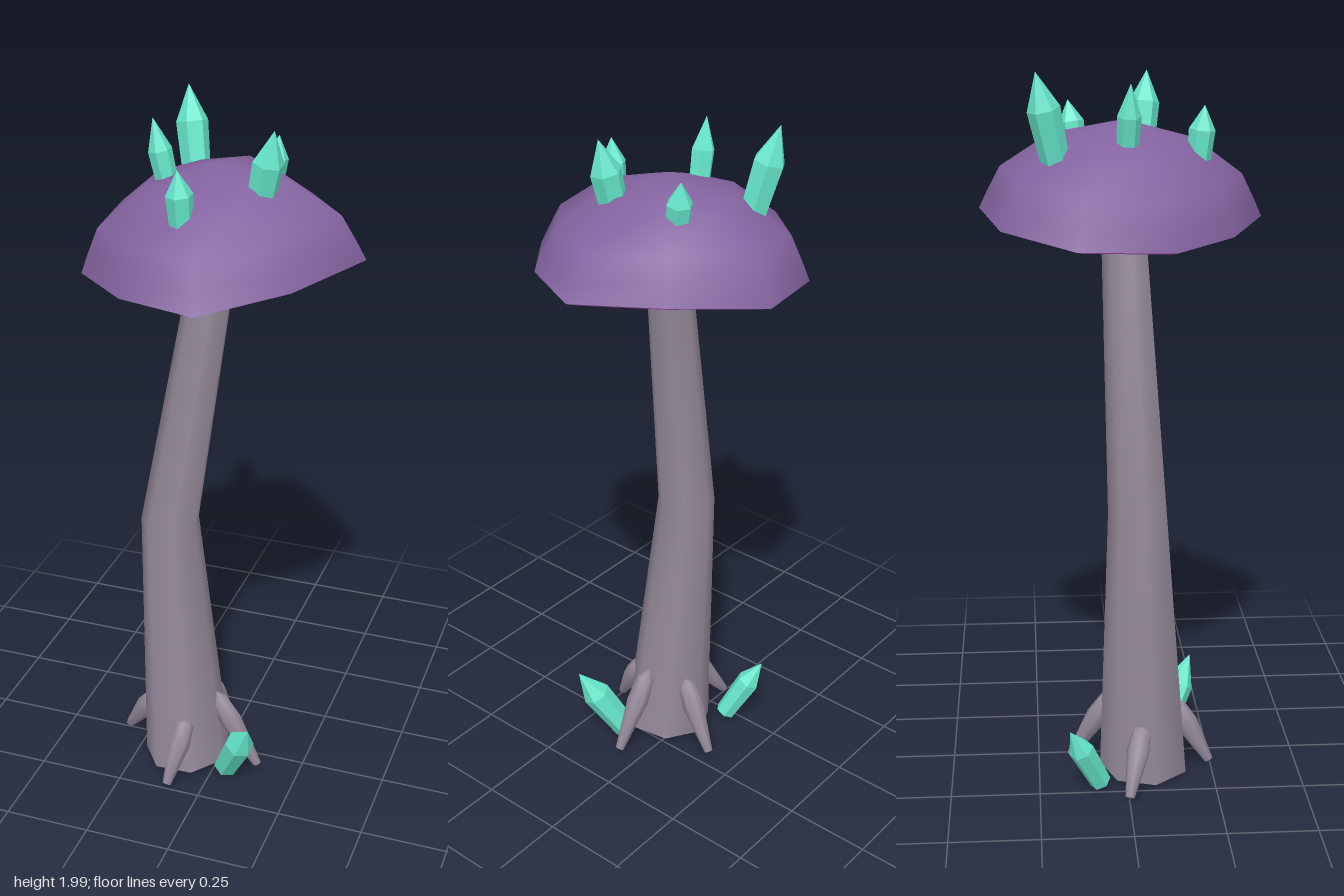
import * as THREE from 'three';
import { mergeVertices } from 'three/addons/utils/BufferGeometryUtils.js';

const mat = (name, color, extra = {}) => {
  const m = new THREE.MeshStandardMaterial({ color, ...extra });
  m.name = name;
  return m;
};

// Skin stacked rings of [x, y, z] points, listed from bottom to top
function loft(rings) {
  const n = rings[0].length, index = [];
  for (let i = 0; i < rings.length - 1; i++) {
    for (let j = 0; j < n; j++) {
      const k = (j + 1) % n;
      const a = i * n + j, b = i * n + k, c = a + n, d = b + n;
      index.push(a, c, b, b, c, d);
    }
  }
  let g = new THREE.BufferGeometry();
  g.setAttribute('position', new THREE.Float32BufferAttribute(rings.flat(2), 3));
  g.setIndex(index);
  g = mergeVertices(g, 1e-5);
  g.computeVertexNormals();
  return g;
}

// Seven-sided ring, optionally sloping along x
const ring = (x, y, z, r, slope = 0) => Array.from({ length: 7 }, (_, i) => {
  const a = (i / 7) * Math.PI * 2 - 0.63;
  return [x + r * Math.cos(a), y + slope * r * Math.cos(a), z + r * Math.sin(a)];
});

export function createModel() {
  const group = new THREE.Group();
  const stemMat = mat('stemGrey', 0x94899a);
  const capMat = mat('capPurple', 0x8463a0);
  const gillMat = mat('gillMagenta', 0xc35cd8);
  const crystalMat = mat('crystalTeal', 0x66e6ca, { flatShading: true });

  const add = (name, geometry, material) => {
    const mesh = new THREE.Mesh(geometry, material);
    mesh.name = name;
    group.add(mesh);
    return mesh;
  };

  // Lay a geometry built along +y (unit height) between two points
  const span = (mesh, from, to, width) => {
    const a = new THREE.Vector3(...from), d = new THREE.Vector3(...to).sub(a);
    mesh.scale.set(width, d.length(), width);
    mesh.position.copy(a);
    mesh.quaternion.setFromUnitVectors(new THREE.Vector3(0, 1, 0), d.normalize());
  };
  const lathe = (points, sides) =>
    new THREE.LatheGeometry(points.map(p => new THREE.Vector2(...p)), sides);

  // Bent, tapering stem
  const foot = r => ring(-0.1, 0.016, 0.057, r, 0.07);
  add('stem', loft([
    foot(0.13),
    ring(-0.155, 0.8, 0.034, 0.085),
    ring(-0.025, 1.62, 0, 0.062),
  ]), stemMat);
  add('stemBase', loft([foot(0), foot(0.13)]), stemMat);

  // Roots splaying from the foot of the stem
  const rootGeo = lathe([[0, 0], [0.8, 0.12], [1, 0.4], [0.4, 1], [0, 1]], 7);
  [
    [[-0.015, 0.25, 0.06], [0.125, 0.018, 0.065]],
    [[-0.07, 0.2, 0.14], [-0.1, 0.018, 0.245]],
    [[-0.2, 0.19, 0.045], [-0.315, 0.018, 0.0]],
    [[-0.07, 0.23, -0.03], [-0.04, 0.018, -0.155]],
  ].forEach(([from, to]) => span(add('root', rootGeo, stemMat), from, to, 0.033));

  // Tilted, irregular cap
  const outline = [
    [0.38, -0.01], [0.25, 0.22], [0.05, 0.385], [-0.19, 0.28], [-0.365, 0.115],
    [-0.385, -0.14], [-0.205, -0.33], [0.045, -0.39], [0.23, -0.21],
  ];
  const capRing = ([scale, h]) => outline.map(([x, z]) => [
    x * scale - 0.1 * h, 1.6 + 0.105 * x * scale - 0.04 * z * scale + h, z * scale,
  ]);
  add('cap', loft([[1, 0], [0.94, 0.05], [0.85, 0.118], [0.5, 0.215], [0, 0.262]].map(capRing)), capMat);
  add('capUnderside', loft([[0, -0.018], [0.88, -0.015], [1, 0]].map(capRing)), gillMat);

  // Crystals: a slightly widening shaft with a pointed tip
  const crystalGeo = lathe([[0, 0], [0.85, 0], [1, 0.64], [0, 1]], 6);
  const crystals = [
    [[-0.14, 1.73, -0.178], [-0.185, 1.995, -0.235], 0.044],
    [[0.083, 1.74, -0.12], [0.1, 1.905, -0.145], 0.035],
    [[-0.146, 1.73, 0], [-0.195, 1.965, 0.008], 0.032],
    [[0.105, 1.74, 0.053], [0.155, 1.98, 0.075], 0.042],
    [[-0.045, 1.72, 0.196], [-0.052, 1.9, 0.214], 0.036],
    [[0.04, 0.022, 0.11], [0.142, 0.245, 0.212], 0.043],
    [[-0.222, 0.022, -0.078], [-0.292, 0.212, -0.165], 0.036],
  ];
  crystals.forEach(([from, to, r], i) =>
    span(add(i < 5 ? 'capCrystal' : 'footCrystal', crystalGeo, crystalMat), from, to, r));

  return group;
}
